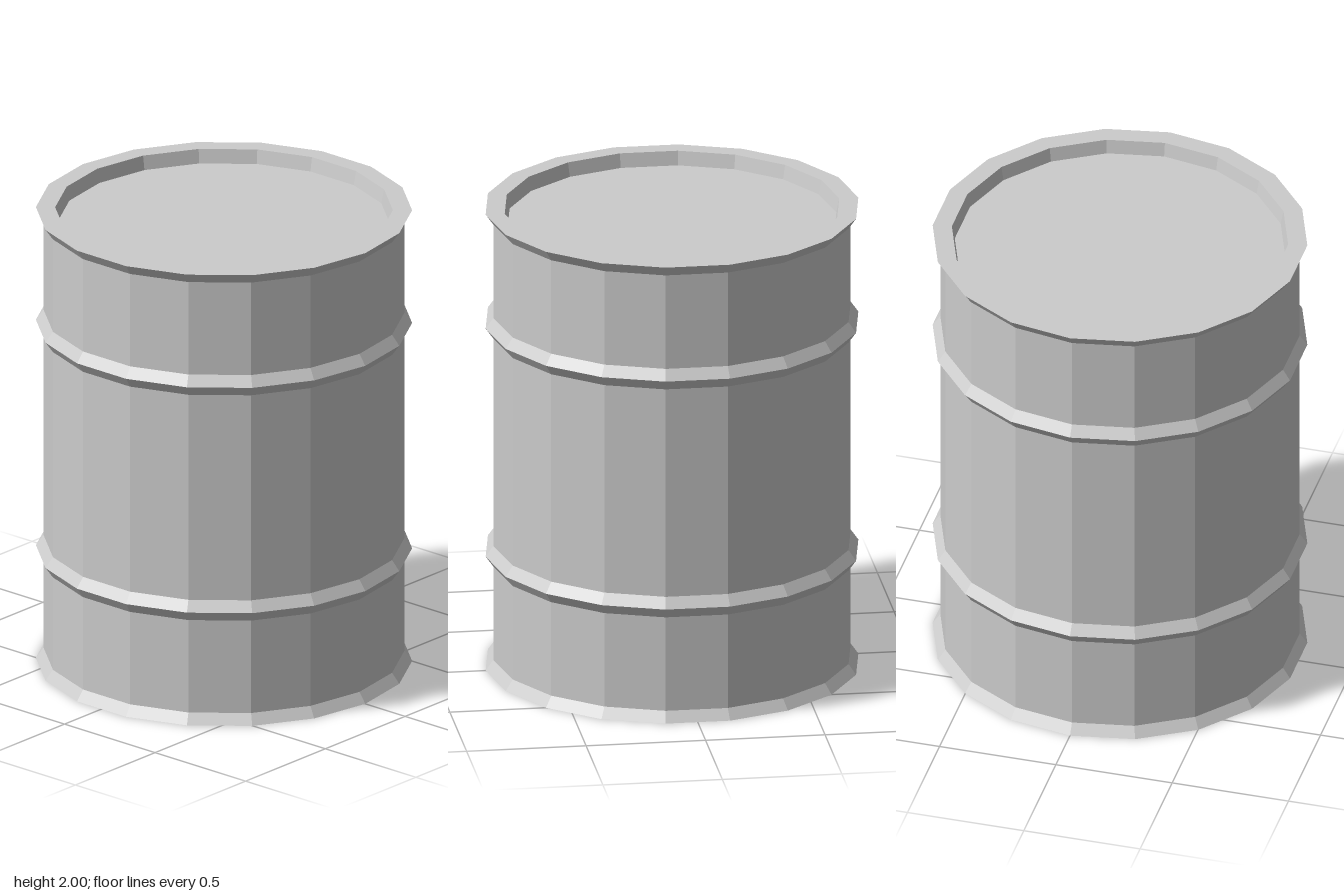
import * as THREE from 'three';

const SIDES = 18;
const BODY_R = 0.748;
const RIM_R = 0.78;
const BEVEL = 0.045;

export function createModel() {
  const group = new THREE.Group();
  const material = new THREE.MeshStandardMaterial({ color: 0xcccccc, flatShading: true });

  // Faceted ring swept from [radius, y] points, with a corner on the x axis
  function addLathe(name, profile) {
    const points = profile.map(([r, y]) => new THREE.Vector2(r, y));
    const mesh = new THREE.Mesh(new THREE.LatheGeometry(points, SIDES, Math.PI / 2), material);
    mesh.name = name;
    group.add(mesh);
  }

  // Flat bottom with a flared foot
  addLathe('base', [[0, 0], [RIM_R, 0], [BODY_R, BEVEL]]);

  // Three wall sections between the foot, the hoops and the rim
  const hoops = [0.5, 1.5];
  const edges = [BEVEL, ...hoops.flatMap((y) => [y - BEVEL, y + BEVEL]), 2 - BEVEL];
  ['lowerWall', 'middleWall', 'upperWall'].forEach((name, i) => {
    addLathe(name, [[BODY_R, edges[2 * i]], [BODY_R, edges[2 * i + 1]]]);
  });

  // Pointed rolling hoops
  hoops.forEach((y, i) => {
    addLathe(i === 0 ? 'lowerHoop' : 'upperHoop',
      [[BODY_R, y - BEVEL], [RIM_R, y], [BODY_R, y + BEVEL]]);
  });

  // Flared top rim with a slightly tapered inner wall
  addLathe('rim', [[BODY_R, 2 - BEVEL], [RIM_R, 2], [0.7, 2], [0.688, 1.94]]);

  // Recessed lid
  addLathe('lid', [[0.688, 1.94], [0, 1.94]]);

  return group;
}
